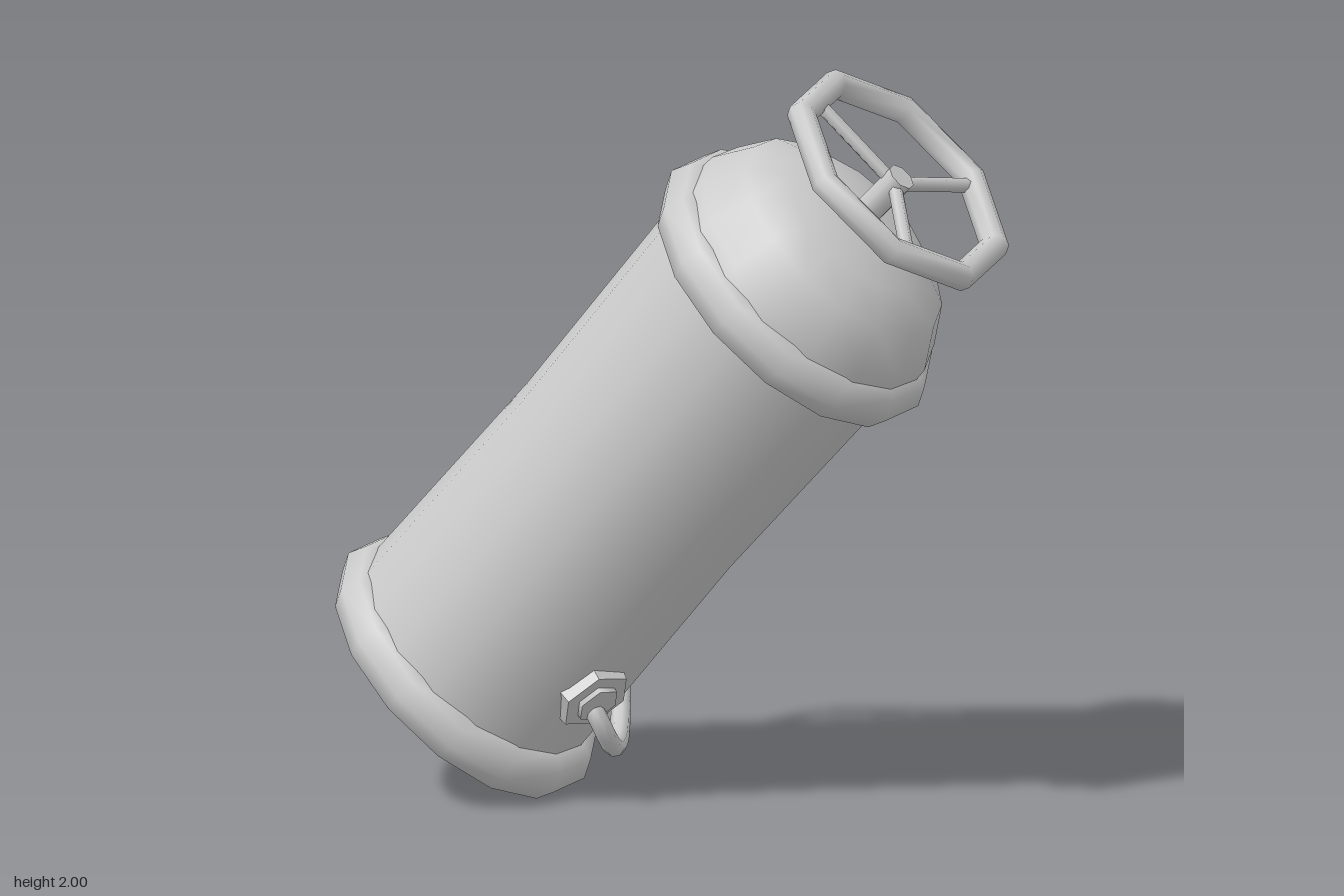
import * as THREE from 'three';

const V = (x, y, z) => new THREE.Vector3(x, y, z);

export function createModel() {
  const model = new THREE.Group();
  model.name = 'gasTank';
  const mat = new THREE.MeshStandardMaterial({ color: 0xcccccc, side: THREE.DoubleSide });

  const add = (parent, name, geo, x = 0, y = 0, z = 0) => {
    const mesh = new THREE.Mesh(geo, mat);
    mesh.name = name;
    mesh.position.set(x, y, z);
    parent.add(mesh);
    return mesh;
  };

  // Straight bar between two points, optionally tapered
  const bar = (parent, name, a, b, r, sides = 8, rEnd = r) => {
    const dir = b.clone().sub(a);
    const mid = a.clone().add(b).multiplyScalar(0.5);
    const mesh = add(parent, name, new THREE.CylinderGeometry(rEnd, r, dir.length(), sides), mid.x, mid.y, mid.z);
    mesh.quaternion.setFromUnitVectors(V(0, 1, 0), dir.normalize());
    return mesh;
  };

  const lathe = (pts, sides) => new THREE.LatheGeometry(pts.map(p => new THREE.Vector2(...p)), sides);
  const torus = (R, r, sides) => new THREE.TorusGeometry(R, r, 8, sides).rotateX(Math.PI / 2);

  // Leaning tank: local y runs along its axis
  const base = V(-0.567, 0.322, 0.135), top = V(0.355, 1.43, -0.1);
  const L = base.distanceTo(top);
  const tank = new THREE.Group();
  tank.name = 'tank';
  tank.position.copy(base);
  tank.quaternion.setFromUnitVectors(V(0, 1, 0), top.clone().sub(base).normalize());
  model.add(tank);

  // Slightly waisted, slightly oval body
  add(tank, 'body', lathe([[0.362, 0], [0.35, L * 0.5], [0.372, L]], 16).scale(1.03, 1, 0.99), -0.008);

  // Ends sit a few degrees off square to the body
  const tilt = -0.045;
  const ends = [
    ['topDome', lathe([[0.39, 0], [0.385, 0.1], [0.325, 0.21], [0.23, 0.268], [0.12, 0.3], [0, 0.308]], 16), L],
    ['topRim', torus(0.36, 0.077, 14), L],
    ['bottomCap', lathe([[0, -0.125], [0.2, -0.11], [0.32, -0.065], [0.362, 0]], 16), 0],
    ['bottomRim', torus(0.343, 0.075, 14), 0],
  ];
  for (const [name, geo, y] of ends) {
    add(tank, name, geo.scale(1.03, 1, 0.965), 0, y, 0).rotation.z = tilt;
  }

  // Valve stem and hand wheel
  const wheel = new THREE.Group();
  wheel.name = 'handWheel';
  wheel.position.set(0.02, L + 0.44, 0);
  wheel.rotation.z = -0.065;
  tank.add(wheel);
  add(wheel, 'wheelRim', torus(0.322, 0.038, 8));
  bar(wheel, 'valveStem', V(0, -0.19, 0), V(0, 0.015, 0), 0.04);
  for (const deg of [35, 155, 275]) {
    const a = THREE.MathUtils.degToRad(deg);
    bar(wheel, 'wheelSpoke', V(0, -0.015, 0), V(Math.cos(a) * 0.305, 0, Math.sin(a) * 0.305), 0.019, 6);
  }

  // Hexagonal outlet on the side near the bottom
  const out = V(0.99, 0, 0.12).normalize();
  const at = r => out.clone().multiplyScalar(r).setY(0.27);
  const hex = bar(tank, 'outletNut', at(0.31), at(0.375), 0.112, 6, 0.1);
  hex.geometry = hex.geometry.toNonIndexed();
  hex.geometry.computeVertexNormals();
  bar(tank, 'outletNeck', at(0.36), at(0.39), 0.06, 6);

  // Hose from the outlet, round the back, up to the top rim
  const path = new THREE.CatmullRomCurve3([
    V(-0.15, 0.32, 0.155), V(-0.1, 0.245, 0.15), V(-0.11, 0.17, 0.09),
    V(-0.18, 0.148, -0.02), V(-0.285, 0.19, -0.155), V(-0.375, 0.36, -0.255),
    V(-0.43, 0.62, -0.3), V(-0.43, 0.92, -0.3), V(-0.335, 1.16, -0.22),
    V(-0.19, 1.41, -0.16), V(-0.08, 1.54, -0.15), V(0.04, 1.645, -0.15),
  ]);
  add(model, 'hose', new THREE.TubeGeometry(path, 48, 0.026, 8));
  bar(model, 'hoseFitting', V(0, 1.605, -0.15), V(0.08, 1.675, -0.15), 0.034);

  return model;
}
